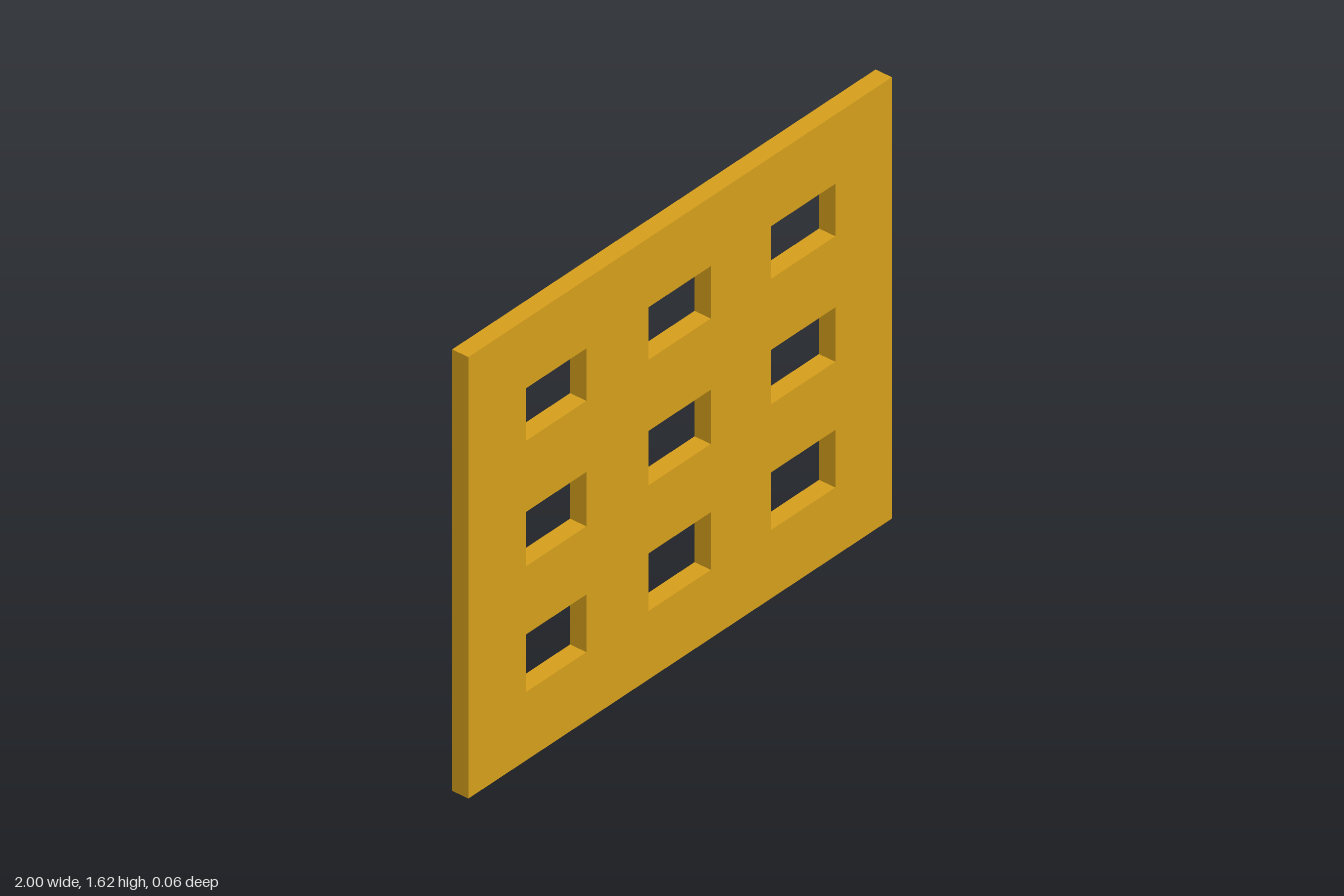
import * as THREE from 'three';

const HEIGHT = 1.625;
const DEPTH = 0.065;
// Left/right edges of each window column, bottom/top edges of each row
const COLUMNS = [[-0.728, -0.443], [-0.15, 0.145], [0.43, 0.733]];
const ROWS = [[0.252, 0.464], [0.715, 0.915], [1.177, 1.37]];

// Traces a closed rectangle on a Shape or Path
function rectangle(path, x0, y0, x1, y1) {
  path.moveTo(x0, y0);
  path.lineTo(x1, y0);
  path.lineTo(x1, y1);
  path.lineTo(x0, y1);
  path.closePath();
  return path;
}

export function createModel() {
  const model = new THREE.Group();
  model.name = 'windowWall';

  // Flat wall pierced by a grid of window openings
  const outline = rectangle(new THREE.Shape(), -1, 0, 1, HEIGHT);
  for (const [x0, x1] of COLUMNS) {
    for (const [y0, y1] of ROWS) {
      outline.holes.push(rectangle(new THREE.Path(), x0, y0, x1, y1));
    }
  }
  const geometry = new THREE.ExtrudeGeometry(outline, { depth: DEPTH, bevelEnabled: false });
  geometry.translate(0, 0, -DEPTH / 2);

  const wall = new THREE.Mesh(geometry, new THREE.MeshStandardMaterial({ color: 0xd49e1b }));
  wall.name = 'wallPanel';
  model.add(wall);
  return model;
}
